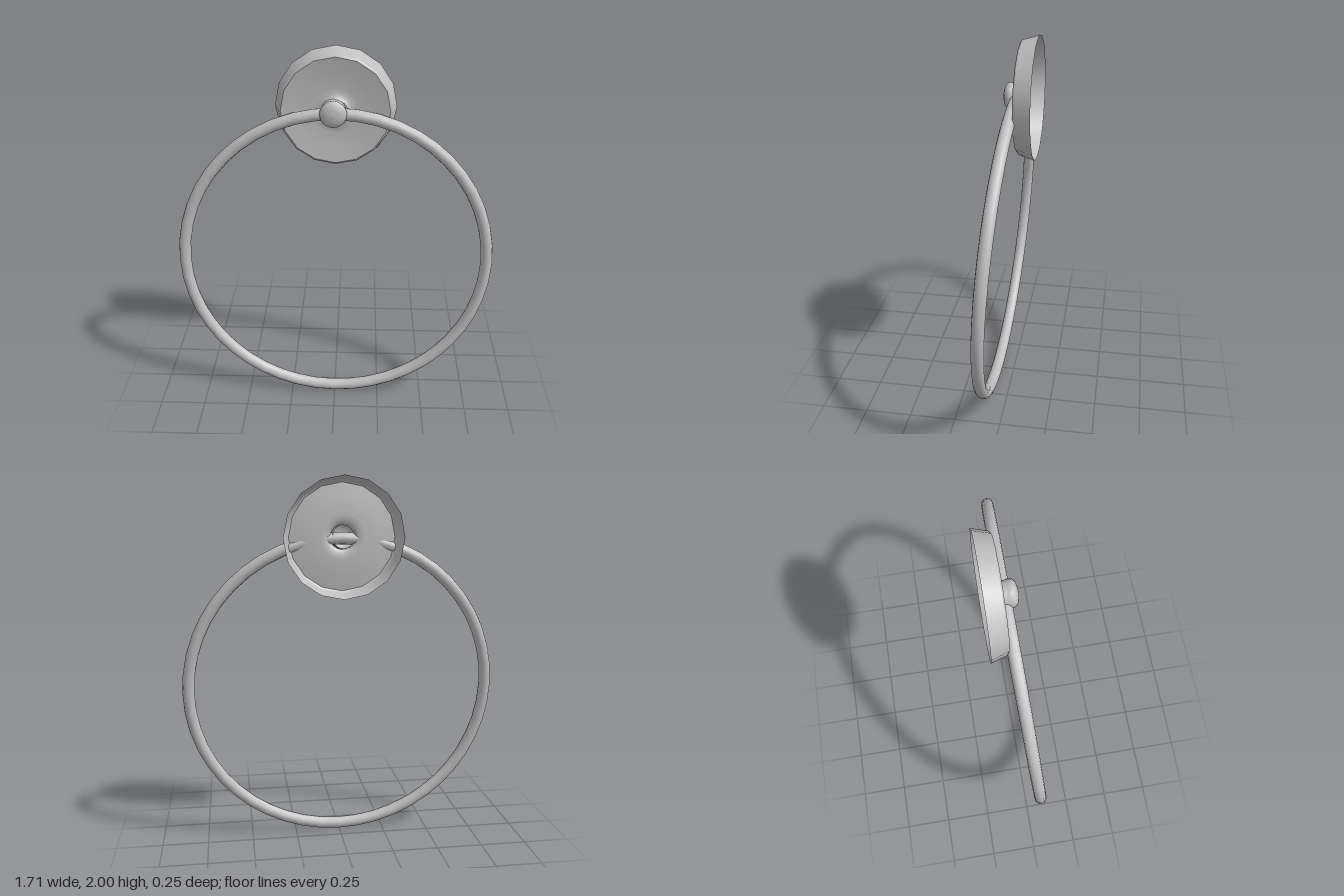
import * as THREE from 'three';

const metal = new THREE.MeshStandardMaterial({ color: 0xc0c0c0, side: THREE.DoubleSide });
metal.name = 'brushed metal';

// Turn a profile of [radius, z] pairs around the front-back axis
function turned(name, profile, x, y) {
  const points = profile.map(([r, z]) => new THREE.Vector2(r, z));
  const geometry = new THREE.LatheGeometry(points, 16);
  geometry.rotateX(Math.PI / 2);
  const mesh = new THREE.Mesh(geometry, metal);
  mesh.name = name;
  mesh.position.set(x, y, 0);
  return mesh;
}

export function createModel() {
  const model = new THREE.Group();
  model.name = 'towelRing';

  // Wall plate: open-backed shell, each band separate so its edges stay crisp
  const plate = new THREE.Group();
  plate.name = 'wallPlate';
  const y = 1.685;
  plate.add(
    turned('plateRim', [[0.315, -0.125], [0.29, -0.042]], 0, y),
    turned('plateBevel', [[0.29, -0.042], [0.28, -0.034]], 0, y),
    turned('plateFace', [[0.28, -0.034], [0.2, -0.046], [0.12, -0.053], [0.09, -0.05],
      [0.072, -0.042], [0.063, -0.03]], 0, y)
  );
  model.add(plate);

  // Hollow post with a rounded knob that holds the ring
  model.add(turned('knob', [[0.063, -0.045], [0.063, -0.01], [0.067, 0.002], [0.07, 0.016],
    [0.066, 0.03], [0.053, 0.042], [0.03, 0.049], [0, 0.052]], -0.01, 1.688));

  // Hanging ring, bottom leaning forward
  const ring = new THREE.Mesh(new THREE.TorusGeometry(0.825, 0.032, 12, 48), metal);
  ring.name = 'ring';
  ring.position.set(0, 0.856, 0.038);
  ring.rotation.x = -0.067;
  model.add(ring);

  return model;
}
